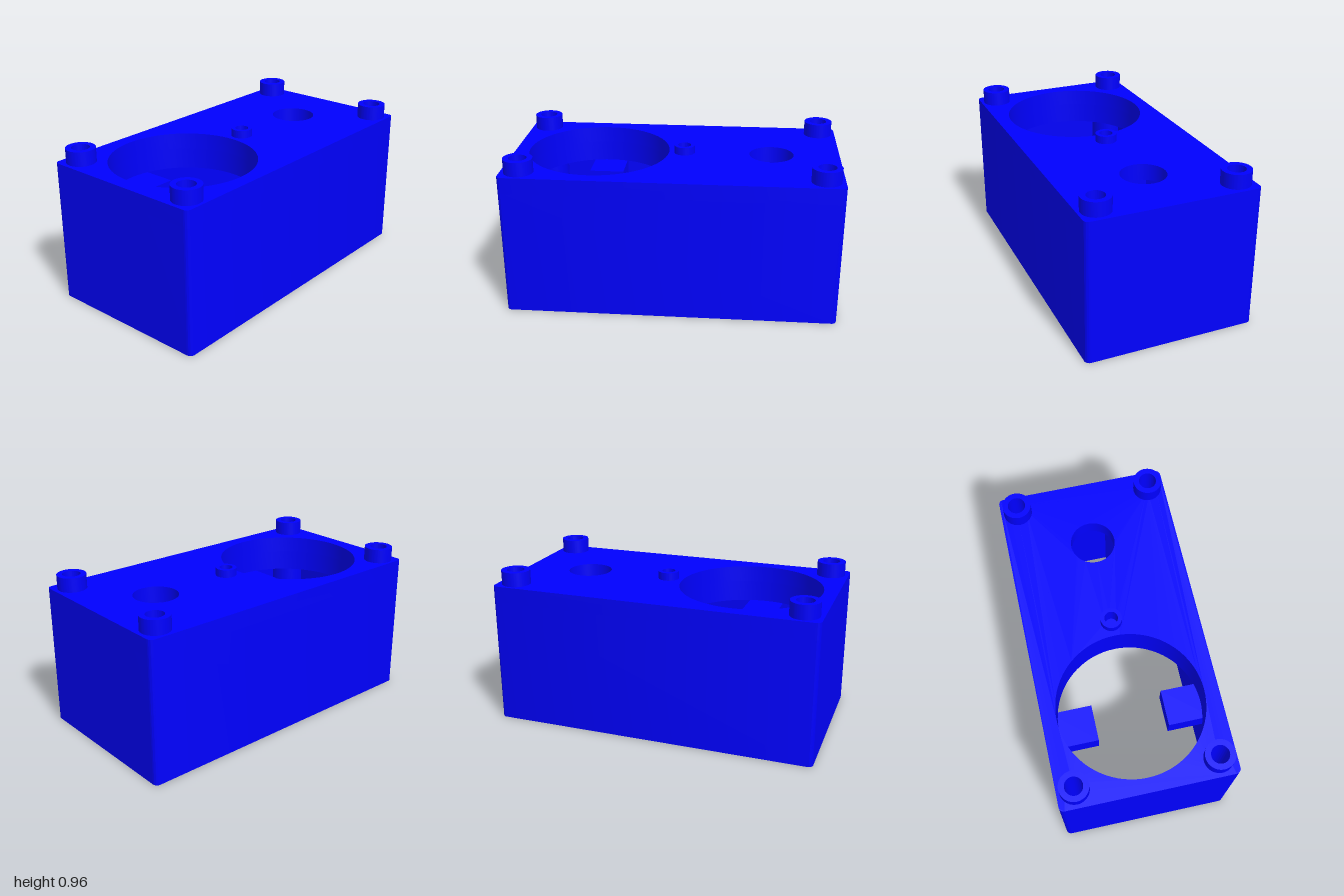
import * as THREE from 'three';
import { toCreasedNormals } from 'three/addons/utils/BufferGeometryUtils.js';

const material = new THREE.MeshStandardMaterial({ color: 0x0000ff });

const HX = 1, HZ = 0.52, TOP = 0.87; // outer half sizes and height
const IX = 0.93, IZ = 0.45;          // inner half sizes
const PLATE = 0.77;                  // underside of the top plate
const PX = 0.89, PZ = 0.415;         // screw post centres
const POST_R = 0.113, BORE_R = 0.053;
const corners = [[PX, PZ], [-PX, PZ], [-PX, -PZ], [PX, -PZ]];

const circle = (Type, x, z, r) => new Type().absarc(x, z, r, 0, Math.PI * 2, false);

function polygon(Type, x, z, r, sides) {
  const points = [];
  for (let i = 0; i < sides; i++) {
    const a = (i + 0.5) * Math.PI * 2 / sides;
    points.push(new THREE.Vector2(x + r * Math.cos(a), z + r * Math.sin(a)));
  }
  return new Type(points);
}

// Rounded rectangular footprint of the case
function footprint() {
  const r = 0.03, s = new THREE.Shape(), q = Math.PI / 2;
  [[1, 1], [-1, 1], [-1, -1], [1, -1]].forEach(([sx, sz], i) =>
    s.absarc(sx * (HX - r), sz * (HZ - r), r, i * q, (i + 1) * q, false));
  return s;
}

// Inside outline: a rectangle whose corners are taken up by the round posts
function cavity() {
  const p = new THREE.Path(), q = Math.PI / 2;
  const a = Math.asin((IX - PX) / POST_R), b = Math.asin((IZ - PZ) / POST_R);
  corners.forEach(([x, z], i) => {
    const [first, last] = i % 2 ? [b, a] : [a, b];
    p.absarc(x, z, POST_R, (i + 3) * q + first, (i + 2) * q - last, true);
  });
  return p.closePath();
}

// Extrude a plan shape upwards between two heights
function prism(name, shape, y0, y1, holes = []) {
  shape.holes.push(...holes);
  const geometry = new THREE.ExtrudeGeometry(shape, { depth: y1 - y0, bevelEnabled: false, curveSegments: 40 });
  geometry.rotateX(-Math.PI / 2).translate(0, y0, 0);
  const mesh = new THREE.Mesh(toCreasedNormals(geometry, 0.5), material);
  mesh.name = name;
  return mesh;
}

export function createModel() {
  const group = new THREE.Group();
  group.name = 'enclosure';
  const bores = () => corners.map(([x, z]) => circle(THREE.Path, x, z, BORE_R));
  const big = { x: -0.48, r: 0.435 }, small = { x: 0.585, r: 0.135 }, pin = { x: 0.05, r: 0.04 };

  // Side walls with the four screw posts, open at the bottom
  group.add(prism('wallsAndPosts', footprint(), 0, PLATE, [cavity(), ...bores()]));

  // Top plate with its openings
  group.add(prism('topPlate', footprint(), PLATE, TOP, [
    circle(THREE.Path, big.x, 0, big.r),
    circle(THREE.Path, small.x, 0, small.r),
    circle(THREE.Path, pin.x, 0, pin.r),
    ...bores(),
  ]));

  // Raised rings on the screw corners
  for (const [x, z] of corners)
    group.add(prism('cornerBoss', circle(THREE.Shape, x, z, 0.087), TOP, 0.957, [circle(THREE.Path, x, z, BORE_R)]));

  // Small blind boss between the two openings
  group.add(prism('pinBoss', circle(THREE.Shape, pin.x, 0, 0.064), TOP, 0.918, [circle(THREE.Path, pin.x, 0, pin.r)]));
  group.add(prism('pinBossFloor', circle(THREE.Shape, pin.x, 0, pin.r), PLATE, PLATE + 0.04));

  // Collar under the large opening
  group.add(prism('largeOpeningCollar', circle(THREE.Shape, big.x, 0, 0.46), 0.64, PLATE, [circle(THREE.Path, big.x, 0, big.r)]));

  // Hexagonal sleeve under the small opening
  group.add(prism('hexSleeve', polygon(THREE.Shape, small.x, 0, 0.275, 6), 0.21, PLATE, [polygon(THREE.Path, small.x, 0, 0.24, 6)]));

  // Two support blocks reaching in from the long walls
  for (const side of [1, -1]) {
    const block = new THREE.Mesh(new THREE.BoxGeometry(0.22, 0.14, 0.255), material);
    block.name = 'supportBlock';
    block.position.set(-0.48, 0.57, side * 0.3425);
    group.add(block);
  }
  return group;
}
